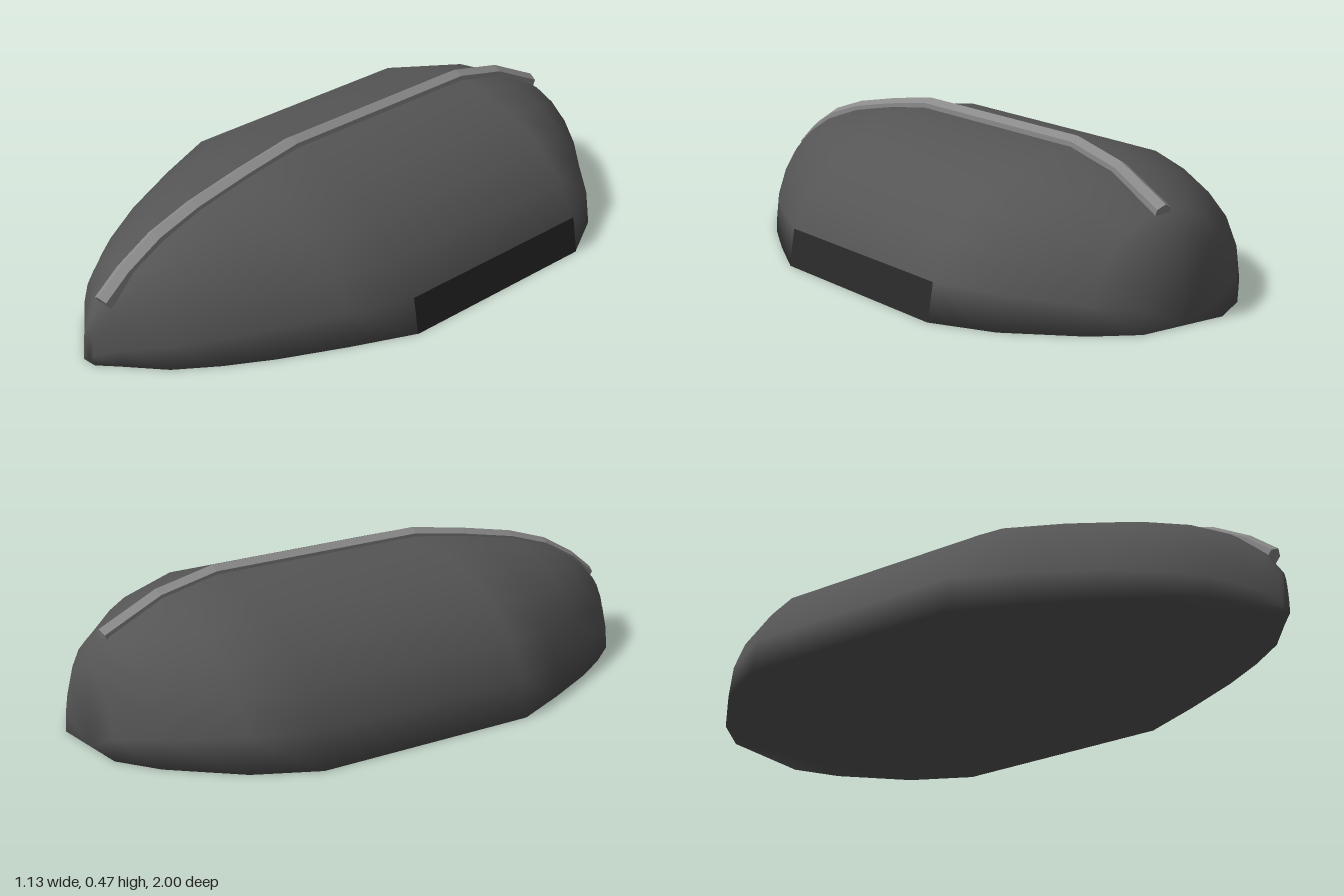
import * as THREE from 'three';

// Skin a list of equal, closed rings (counter-clockwise seen from +z, running front to back).
function loft(rings) {
  const n = rings[0].length, index = [], last = (rings.length - 1) * n;
  for (let r = 0; r < rings.length - 1; r++) {
    for (let i = 0; i < n; i++) {
      const a = r * n + i, b = r * n + (i + 1) % n;
      index.push(a, a + n, b, b, a + n, b + n);
    }
  }
  // end caps, fanned from the last point of each ring
  for (let i = 0; i < n - 2; i++) {
    index.push(n - 1, i, i + 1);
    index.push(last + n - 1, last + i + 1, last + i);
  }
  const geo = new THREE.BufferGeometry();
  geo.setAttribute('position', new THREE.Float32BufferAttribute(rings.flat(2), 3));
  geo.setIndex(index);
  geo.computeVertexNormals();
  return geo;
}

function addMesh(group, name, geo, color, options = {}) {
  const mesh = new THREE.Mesh(geo, new THREE.MeshStandardMaterial({ color, ...options }));
  mesh.name = name;
  group.add(mesh);
  return mesh;
}

export function createModel() {
  const group = new THREE.Group();
  group.name = 'domedShell';

  // Shell: half-ellipse sections as [z, half width, height]
  const stations = [
    [1, 0.025, 0.12], [0.95, 0.085, 0.195], [0.86, 0.2, 0.275], [0.74, 0.29, 0.335],
    [0.6, 0.375, 0.38], [0.4, 0.475, 0.42], [0.2, 0.565, 0.45], [-0.55, 0.565, 0.45],
    [-0.74, 0.465, 0.41], [-0.92, 0.285, 0.325], [-1, 0.15, 0.25],
  ];
  const shellRings = stations.map(([z, w, h]) => {
    const ring = [];
    for (let i = 0; i <= 12; i++) {
      const t = (i / 12) * Math.PI;
      ring.push([w * Math.cos(t), h * Math.sin(t), z]);
    }
    ring.push([0, 0, z]); // centre line of the flat underside
    return ring;
  });
  addMesh(group, 'shell', loft(shellRings), 0x555555);

  // Ridge rail: hexagonal bar following the crown, just left of the centre line
  const path = [
    [0.957, 0.192], [0.87, 0.26], [0.75, 0.325], [0.6, 0.372], [0.4, 0.412],
    [0.2, 0.445], [-0.55, 0.445], [-0.74, 0.405], [-0.93, 0.317],
  ];
  const railRings = path.map(([z, y], k) => {
    const p = path[Math.max(k - 1, 0)], q = path[Math.min(k + 1, path.length - 1)];
    const dz = q[0] - p[0], dy = q[1] - p[1], len = Math.hypot(dz, dy);
    return Array.from({ length: 6 }, (_, i) => {
      const t = Math.PI / 6 + (i * Math.PI) / 3, s = 0.03 * Math.sin(t);
      return [0.025 + 0.03 * Math.cos(t), y - (s * dz) / len, z + (s * dy) / len];
    });
  });
  addMesh(group, 'ridgeRail', loft(railRings), 0x8a8a8a, { flatShading: true });

  // Side panel: dark flat strip along the lower left flank
  const panel = new THREE.PlaneGeometry(0.75, 0.118);
  panel.rotateY(Math.PI / 2);
  panel.rotateZ(Math.atan2(0.019, 0.116));
  panel.translate(0.5575, 0.0585, -0.175);
  addMesh(group, 'sidePanel', panel, 0x2a2a2a, { side: THREE.DoubleSide });

  return group;
}
